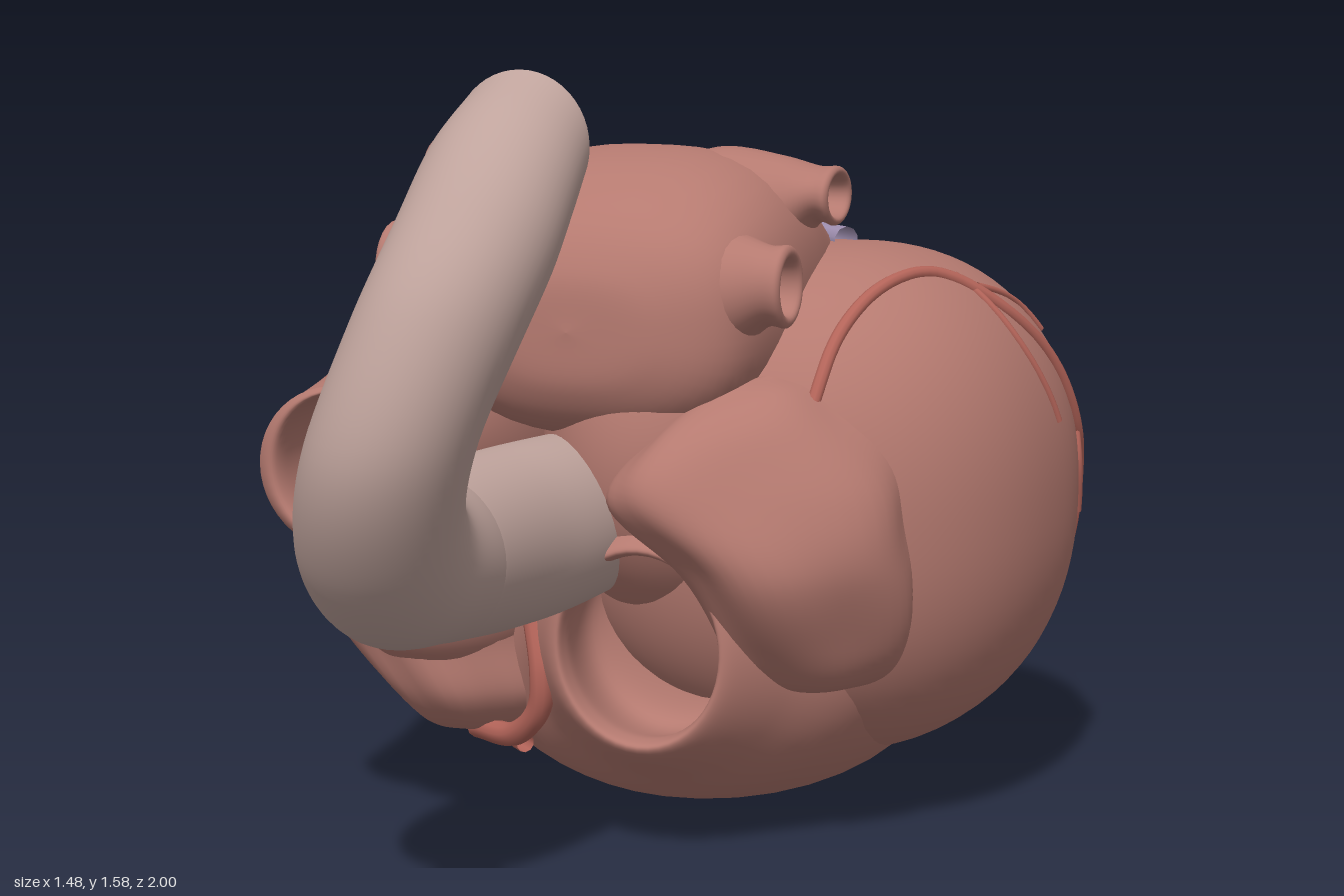
import * as THREE from 'three';
import { mergeVertices } from 'three/addons/utils/BufferGeometryUtils.js';

const V = (x, y, z) => new THREE.Vector3(x, y, z);
const paint = (color) => new THREE.MeshStandardMaterial({ color, side: THREE.DoubleSide, roughness: 0.8 });
const muscle = paint(0xb57a70);
const aortaSkin = paint(0xbfa39c);
const arteryRed = paint(0xb5655a);
const veinBlue = paint(0x9f8fb0);

// Cross-sections lying across the z, y or x axis: centre and two half widths
const ringZ = ([x, y, z, rx, ry]) => [V(x, y, z), V(rx, 0, 0), V(0, ry, 0)];
const ringY = ([x, y, z, rx, rz]) => [V(x, y, z), V(rx, 0, -0.55 * rx), V(0.25 * rz, 0, rz)];
const ringX = ([x, y, z, ry, rz]) => [V(x, y, z), V(0, ry, 0), V(0, 0, rz)];

// Swells a round section towards a rounded box
const boxy = (p) => (a) => (Math.abs(Math.cos(a)) ** p + Math.abs(Math.sin(a)) ** p) ** (-1 / p) - 1;

// Smooth skin through a row of elliptical cross-sections
function loft(rings, { seg = 48, steps = 60, bump = () => 0 } = {}) {
  const [centre, uAxis, vAxis] = [0, 1, 2].map((k) => new THREE.CatmullRomCurve3(rings.map((r) => r[k]), false, 'catmullrom', 0.5));
  const pos = [], index = [];
  for (let i = 0; i <= steps; i++) {
    const t = i / steps;
    const c = centre.getPoint(t), u = uAxis.getPoint(t), v = vAxis.getPoint(t);
    for (let j = 0; j < seg; j++) {
      const a = (j / seg) * Math.PI * 2, s = 1 + bump(a, t);
      const p = c.clone().addScaledVector(u, Math.cos(a) * s).addScaledVector(v, Math.sin(a) * s);
      pos.push(p.x, p.y, p.z);
      if (i < steps) {
        const k = (j + 1) % seg, A = i * seg + j, B = i * seg + k;
        index.push(A, B, A + seg, B, B + seg, A + seg);
      }
    }
  }
  const g = new THREE.BufferGeometry();
  g.setAttribute('position', new THREE.Float32BufferAttribute(pos, 3));
  g.setIndex(index);
  g.computeVertexNormals();
  return g;
}

// Rounded body: maps a unit direction to a point on a full, slightly skewed ellipsoid
const body = (c, r, { power = 2, leftSwell = 1, skew = 0 } = {}) => ({
  c, r,
  at(d) {
    const n = (Math.abs(d.x) ** power + Math.abs(d.y) ** power + Math.abs(d.z) ** power) ** (1 / power);
    const q = d.clone().divideScalar(n).multiply(r);
    if (q.x < 0) q.x *= leftSwell;
    q.x += skew * q.z;
    return q.add(c);
  },
});

function bodyGeometry(b) {
  let g = new THREE.SphereGeometry(1, 64, 48);
  g.deleteAttribute('uv');
  g.deleteAttribute('normal');
  g = mergeVertices(g, 1e-4);
  const p = g.attributes.position;
  for (let i = 0; i < p.count; i++) {
    const q = b.at(V().fromBufferAttribute(p, i));
    p.setXYZ(i, q.x, q.y, q.z);
  }
  g.computeVertexNormals();
  return g;
}

// Vessels: a free tube, and one laid on the surface of a body
const vessel = (points, radius) => new THREE.TubeGeometry(new THREE.CatmullRomCurve3(points), 60, radius, 10);
function vesselOn(b, points, radius) {
  const rough = new THREE.CatmullRomCurve3(points.map((p) => V(...p)));
  return vessel(rough.getPoints(24).map((p) => b.at(p.sub(b.c).divide(b.r).normalize())), radius);
}

export function createModel() {
  const heart = new THREE.Group();
  heart.name = 'heart';
  const add = (name, geometry, material = muscle) => {
    const m = new THREE.Mesh(geometry, material);
    m.name = name;
    heart.add(m);
  };

  // Ventricles; the right one opens at the front and turns inward
  const leftVentricle = body(V(0.28, 0.655, -0.47), V(0.455, 0.535, 0.53), { power: 2.25, leftSwell: 1.25, skew: -0.1 });
  const ventricularBase = body(V(0.02, 0.7, -0.5), V(0.34, 0.43, 0.43), { power: 2.4 });
  add('leftVentricle', bodyGeometry(leftVentricle));
  add('ventricularBase', bodyGeometry(ventricularBase));
  add('rightVentricle', loft([
    [0.06, 0.46, -0.95, 0, 0], [0.06, 0.46, -0.91, 0.26, 0.22], [0.04, 0.43, -0.73, 0.44, 0.375],
    [0, 0.37, -0.4, 0.53, 0.37], [0, 0.39, -0.12, 0.46, 0.335], [0.05, 0.42, 0.05, 0.29, 0.27],
    [0.06, 0.435, 0.16, 0.19, 0.21], [0.06, 0.435, 0.13, 0.165, 0.185],
    [0.06, 0.43, -0.04, 0.18, 0.19], [0.06, 0.43, -0.1, 0, 0],
  ].map(ringZ), { steps: 90 }));

  // Left atrium, a rounded box sloping down at the back, and its base
  add('leftAtrium', loft([
    [-0.08, 1.06, 0.185, 0, 0], [-0.08, 1.06, 0.17, 0.18, 0.12], [-0.08, 1.07, 0.09, 0.31, 0.22],
    [-0.08, 1.1, -0.08, 0.355, 0.275], [-0.08, 1.115, -0.28, 0.36, 0.28], [-0.07, 1.07, -0.46, 0.33, 0.26],
    [-0.03, 1.01, -0.6, 0.27, 0.22], [-0.03, 1, -0.67, 0.19, 0.17], [-0.03, 1, -0.69, 0, 0],
  ].map(ringZ), { bump: boxy(2.6) }));
  add('atrialBase', bodyGeometry(body(V(0.02, 0.8, -0.25), V(0.29, 0.4, 0.41))));

  // Four open pulmonary vein funnels: tip position, half height, half depth, root height
  [[0.32, 1.15, 0.03, 0.08, 0.08, 1.11], [0.31, 1.3, -0.29, 0.06, 0.09, 1.22],
    [-0.57, 1.15, -0.06, 0.09, 0.09, 1.12], [-0.57, 1.325, -0.28, 0.075, 0.09, 1.2]].forEach(([x, y, z, ry, rz, rootY]) => {
    const s = Math.sign(x), rootZ = z * 0.7 - 0.08;
    add('pulmonaryVein', loft([
      [x - s * 0.36, rootY - 0.02, rootZ, 0.16, 0.16], [x - s * 0.24, rootY + 0.01, rootZ, 0.165, 0.165],
      [x - s * 0.12, (y + rootY) / 2, (z + rootZ) / 2, 0.12, 0.12], [x - s * 0.04, y, z, ry, rz],
      [x, y, z, ry, rz], [x, y, z, ry * 0.72, rz * 0.72],
      [x - s * 0.07, y, z, ry * 0.6, rz * 0.6], [x - s * 0.1, y, z, 0, 0],
    ].map(ringX), { seg: 28, steps: 49 }));
  });

  // Right atrium with the caval passage running right through it
  add('rightAtriumAndVenaCava', loft([
    [-0.478, 0.8, -0.88, 0.16, 0.16], [-0.485, 0.8, -0.8, 0.175, 0.178], [-0.495, 0.8, -0.6, 0.215, 0.22],
    [-0.5, 0.79, -0.3, 0.24, 0.3], [-0.5, 0.79, -0.08, 0.235, 0.3], [-0.49, 0.79, 0.13, 0.205, 0.21],
    [-0.49, 0.79, 0.31, 0.185, 0.168], [-0.49, 0.79, 0.35, 0.177, 0.165], [-0.48, 0.795, 0.35, 0.148, 0.148],
    [-0.48, 0.8, 0.2, 0.145, 0.145], [-0.48, 0.8, -0.3, 0.145, 0.145], [-0.48, 0.8, -0.8, 0.145, 0.145],
    [-0.478, 0.8, -0.88, 0.16, 0.16],
  ].map(ringZ), { steps: 110 }));
  add('rightAtriumWall', bodyGeometry(body(V(-0.45, 0.47, -0.18), V(0.235, 0.2, 0.38))));

  // Ruffled atrial appendages
  add('rightAppendage', loft([
    [-0.46, 0.64, -0.03, 0, 0], [-0.47, 0.62, -0.03, 0.2, 0.2], [-0.455, 0.52, -0.06, 0.235, 0.21],
    [-0.42, 0.4, -0.07, 0.22, 0.19], [-0.37, 0.28, -0.07, 0.18, 0.16],
    [-0.38, 0.2, -0.08, 0.1, 0.1], [-0.39, 0.18, -0.08, 0, 0],
  ].map(ringY), { bump: (a, t) => 0.02 * Math.sin(9 * a + 6 * t) + 0.02 * Math.sin(4 * a - 9 * t) }));
  add('leftAppendage', loft([
    [0.27, 0.97, -0.03, 0, 0], [0.27, 0.94, -0.02, 0.1, 0.08], [0.27, 0.86, 0.02, 0.2, 0.13],
    [0.28, 0.74, 0.05, 0.26, 0.16], [0.35, 0.6, 0.04, 0.205, 0.155], [0.37, 0.45, -0.01, 0.16, 0.125],
    [0.36, 0.36, -0.04, 0.12, 0.08], [0.36, 0.33, -0.05, 0, 0],
  ].map(ringY), { bump: (a, t) => 0.04 * Math.sin(5 * a + 8 * t) + 0.035 * Math.sin(3 * a - 17 * t) }));

  // Aorta: outer z, y and inner z, y of each section, then centre x and half width
  const arch = ([zo, yo, zi, yi, x, w]) => [V(x, (yo + yi) / 2, (zo + zi) / 2), V(0, (yo - yi) / 2, (zo - zi) / 2), V(w, 0, 0)];
  const root = [[-0.2, 0.52, -0.2, 0.83, -0.1, 0.15], [0.1, 0.49, 0.1, 0.84, -0.15, 0.16],
    [0.3, 0.485, 0.3, 0.84, -0.19, 0.16], [0.52, 0.505, 0.52, 0.835, -0.215, 0.16]];
  const bend = [root[3], [0.74, 0.55, 0.61, 0.855, -0.21, 0.165], [0.91, 0.7, 0.66, 0.9, -0.18, 0.16],
    [1.0, 0.92, 0.675, 0.98, -0.125, 0.155], [0.94, 1.18, 0.655, 1.09, -0.06, 0.15],
    [0.81, 1.37, 0.61, 1.19, -0.025, 0.148], [0.67, 1.5, 0.56, 1.26, -0.02, 0.145], [0.52, 1.58, 0.52, 1.31, -0.02, 0.135]];
  add('aortaRoot', loft(root.map(arch)), aortaSkin);
  add('aorticArch', loft(bend.map(arch)), aortaSkin);
  const end = arch(bend[7]);
  add('aortaEndCap', loft([end, [end[0], V(0, 0, 0), V(0, 0, 0)]], { steps: 2 }), aortaSkin);

  // Coronary vessels following the surface
  add('leftCoronaryArtery', vesselOn(leftVentricle, [[0.4, 0.9, -0.03], [0.42, 1.05, -0.1], [0.45, 1.13, -0.25],
    [0.5, 1.14, -0.4], [0.6, 1.06, -0.5], [0.66, 0.95, -0.6], [0.7, 0.8, -0.7], [0.68, 0.7, -0.76], [0.65, 0.5, -0.8]], 0.014), arteryRed);
  [[[0.52, 1.14, -0.45], [0.64, 1.0, -0.46], [0.72, 0.83, -0.52]],
    [[0.56, 1.12, -0.48], [0.58, 1.05, -0.62], [0.6, 0.98, -0.67]],
    [[0.69, 0.8, -0.7], [0.72, 0.72, -0.7], [0.72, 0.6, -0.74]]]
    .forEach((p) => add('arteryBranch', vesselOn(leftVentricle, p, 0.008), arteryRed));
  const rightShell = body(V(0, 0.375, -0.38), V(0.535, 0.37, 0.54));
  add('rightCoronaryArtery', vesselOn(rightShell, [[-0.3, 0.14, 0], [-0.4, 0.15, -0.1],
    [-0.47, 0.22, -0.3], [-0.46, 0.32, -0.5], [-0.4, 0.48, -0.7], [-0.3, 0.62, -0.78]], 0.02), arteryRed);
  add('posteriorArtery', vesselOn(ventricularBase, [[-0.12, 1, -0.76], [-0.22, 0.86, -0.8],
    [-0.26, 0.74, -0.8], [-0.29, 0.6, -0.76]], 0.015), arteryRed);
  add('rightArteryLoop', vessel([V(-0.2, 0.48, 0.08), V(-0.17, 0.36, 0.11), V(-0.18, 0.28, 0.1),
    V(-0.25, 0.21, 0.06), V(-0.38, 0.19, -0.03)], 0.025), arteryRed);
  add('coronarySinus', vessel([V(0.27, 1.19, -0.48), V(0.1, 1.19, -0.61), V(-0.04, 1.15, -0.68),
    V(-0.15, 1.07, -0.7), V(-0.25, 0.94, -0.7)], 0.03), veinBlue);

  return heart;
}
